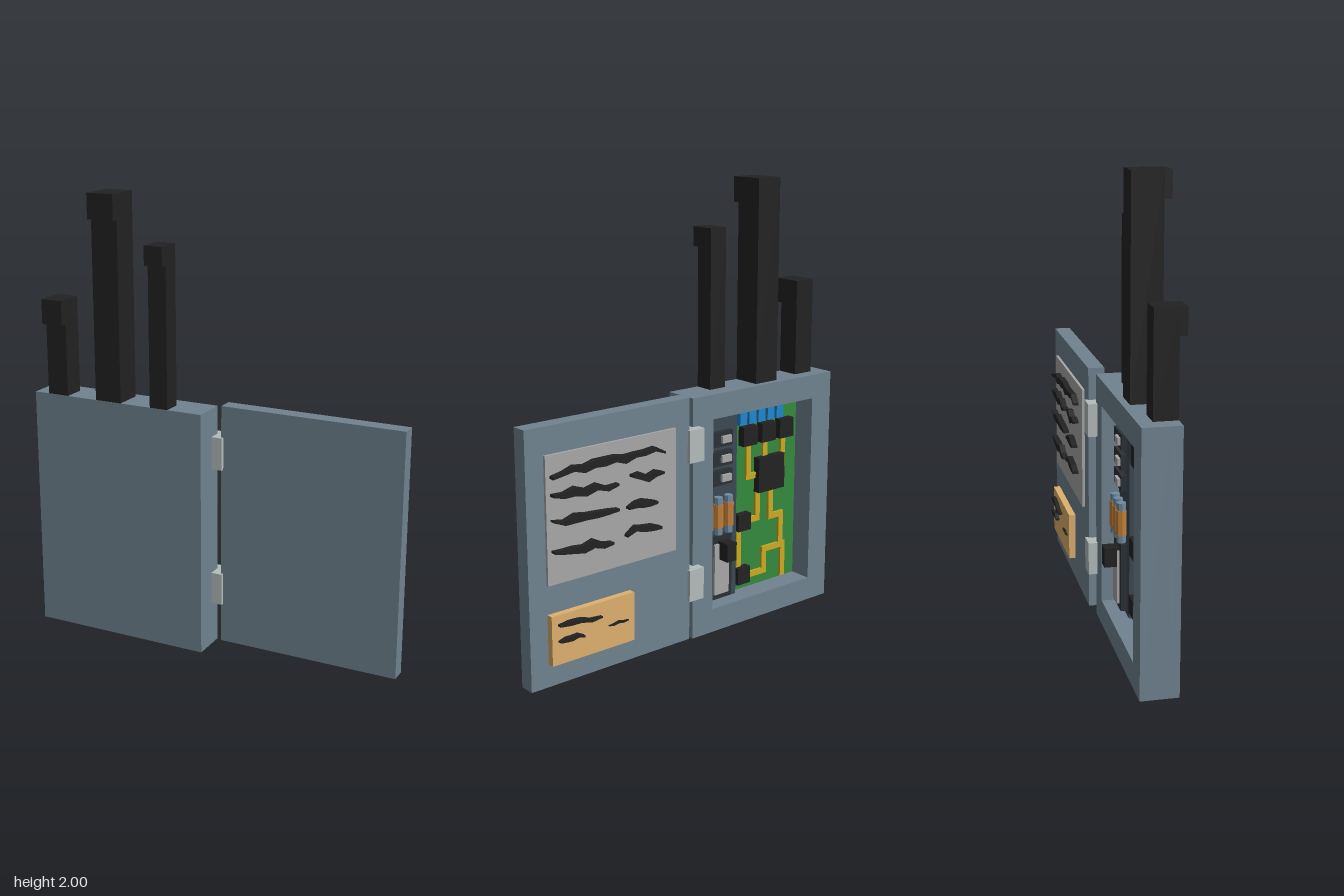
import * as THREE from 'three';

const mat = (color) => new THREE.MeshStandardMaterial({ color, flatShading: true });
const M = {
  steel: mat(0x708390), hinge: mat(0xb4bcbc), black: mat(0x222222), panel: mat(0x3c4852),
  board: mat(0x348a3c), trace: mat(0xccaa22), blue: mat(0x1f86cc), copper: mat(0xc08038),
  cap: mat(0x6f8ca0), plate: mat(0xa8a8a8), label: mat(0xdeb06e), dark: mat(0x2a3036),
};

export function createModel() {
  const root = new THREE.Group();

  const group = (name) => {
    const g = new THREE.Group();
    g.name = name;
    root.add(g);
    return g;
  };
  const add = (parent, name, geometry, material) => {
    const m = new THREE.Mesh(geometry, material);
    m.name = name;
    parent.add(m);
    return m;
  };
  // Box given by its limits on each axis
  const box = (parent, name, material, x0, x1, y0, y1, z0, z1) => {
    const m = add(parent, name, new THREE.BoxGeometry(x1 - x0, y1 - y0, z1 - z0), material);
    m.position.set((x0 + x1) / 2, (y0 + y1) / 2, (z0 + z1) / 2);
    return m;
  };
  // Box given by centre and size in x and y
  const block = (parent, name, material, x, y, w, h, z0, z1) =>
    box(parent, name, material, x - w / 2, x + w / 2, y - h / 2, y + h / 2, z0, z1);

  // Cabinet: frame with a rectangular opening, closed by a plate at +z
  const cabinet = group('cabinet');
  const rect = (C, x0, x1, y0, y1) => new C([
    new THREE.Vector2(x0, y0), new THREE.Vector2(x1, y0),
    new THREE.Vector2(x1, y1), new THREE.Vector2(x0, y1),
  ]);
  const outline = rect(THREE.Shape, -0.85, -0.02, 0, 1.1);
  outline.holes.push(rect(THREE.Path, -0.735, -0.135, 0.11, 0.99));
  const frame = add(cabinet, 'cabinetFrame',
    new THREE.ExtrudeGeometry(outline, { depth: 0.115, bevelEnabled: false }), M.steel);
  frame.position.z = -0.055;
  box(cabinet, 'cabinetWall', M.steel, -0.85, -0.02, 0, 1.1, 0.06, 0.105);

  // Open door and hinges
  const door = group('door');
  box(door, 'doorPanel', M.steel, 0.02, 0.845, 0.02, 1.115, -0.08, -0.01);
  for (const y of [0.2, 0.83]) box(root, 'hinge', M.hinge, -0.05, 0.03, y, y + 0.145, -0.095, 0.005);

  // Conduits with a short elbow at the top: x0, x1, back z, top, elbow height
  const conduits = group('conduits');
  for (const [x0, x1, z0, top, h] of [
    [-0.78, -0.68, 0.005, 1.53, 0.11],
    [-0.535, -0.41, -0.025, 2, 0.11],
    [-0.265, -0.18, 0.02, 1.8, 0.085],
  ]) {
    box(conduits, 'conduit', M.black, x0, x1, 1.09, top, z0, 0.104);
    box(conduits, 'conduitElbow', M.black, x0, x1, top - h, top, 0.1, 0.135);
  }

  // Breaker side: dark raised panel with breakers, fuses and the main switch
  const power = group('breakerPanel');
  box(power, 'mountingPanel', M.panel, -0.34, -0.135, 0.11, 0.99, 0.02, 0.06);
  for (const y of [0.873, 0.784, 0.695]) {
    block(power, 'breaker', M.dark, -0.225, y, 0.135, 0.068, -0.005, 0.02);
    block(power, 'breakerLever', M.plate, -0.25, y, 0.055, 0.032, -0.018, 0);
  }
  for (const x of [-0.155, -0.215, -0.275]) {
    const body = add(power, 'fuse', new THREE.CylinderGeometry(0.024, 0.024, 0.11, 8), M.copper);
    body.position.set(x, 0.52, 0);
    for (const s of [-1, 1]) {
      const cap = add(power, 'fuseCap', new THREE.CylinderGeometry(0.02, 0.02, 0.035, 8), M.cap);
      cap.position.set(x, 0.52 + s * 0.07, 0);
    }
  }
  block(power, 'switchBase', M.dark, -0.225, 0.275, 0.135, 0.3, -0.005, 0.02);
  block(power, 'switchPlate', M.plate, -0.225, 0.27, 0.085, 0.24, -0.016, 0);
  block(power, 'switchHandle', M.black, -0.2375, 0.36, 0.055, 0.085, -0.07, 0);

  // Circuit board with chips, terminals and traces
  const board = group('circuitBoard');
  box(board, 'board', M.board, -0.735, -0.34, 0.11, 0.99, 0.05, 0.06);
  for (let i = 0; i < 5; i++) {
    block(board, 'terminal', M.blue, -0.38 - i * 0.056, 0.935, 0.042, 0.06, 0.02, 0.05);
  }
  for (const [x, y, w, h] of [
    [-0.42, 0.85, 0.085, 0.09], [-0.533, 0.85, 0.085, 0.09], [-0.645, 0.85, 0.085, 0.09],
    [-0.555, 0.65, 0.16, 0.165], [-0.39, 0.445, 0.075, 0.08], [-0.39, 0.185, 0.075, 0.08],
  ]) block(board, 'chip', M.black, x, y, w, h, 0.015, 0.05);
  const traces = [
    [[-0.43, 0.81], [-0.43, 0.65], [-0.48, 0.65]],
    [[-0.533, 0.81], [-0.533, 0.72]],
    [[-0.645, 0.81], [-0.645, 0.66], [-0.63, 0.66]],
    [[-0.573, 0.57], [-0.573, 0.43], [-0.64, 0.43], [-0.64, 0.275], [-0.535, 0.275], [-0.535, 0.17], [-0.42, 0.17]],
    [[-0.49, 0.57], [-0.49, 0.44], [-0.42, 0.44]],
    [[-0.375, 0.41], [-0.375, 0.22]],
    [[-0.655, 0.275], [-0.655, 0.13]],
  ];
  const tw = 0.014;
  for (const path of traces) {
    for (let i = 1; i < path.length; i++) {
      const [a, b] = path[i - 1], [c, d] = path[i];
      box(board, 'trace', M.trace, Math.min(a, c) - tw, Math.max(a, c) + tw,
        Math.min(b, d) - tw, Math.max(b, d) + tw, 0.038, 0.05);
    }
  }

  // Notice plate and label on the inside of the door
  box(door, 'noticePlate', M.plate, 0.105, 0.76, 0.46, 1.0, -0.092, -0.08);
  box(door, 'label', M.label, 0.345, 0.76, 0.12, 0.335, -0.11, -0.08);

  // Jagged raised strokes
  let seed = 7;
  const rnd = () => (seed = (seed * 16807) % 2147483647) / 2147483647;
  const stroke = (x0, x1, y, h, z) => {
    const n = Math.max(4, Math.round((x0 - x1) / 0.05));
    const upper = [], lower = [];
    for (let i = 0; i <= n; i++) {
      const t = i / n;
      const mid = y + (rnd() - 0.5) * h * 0.8;
      const half = h * (0.15 + 0.35 * Math.sin(Math.PI * t)) * (0.7 + 0.5 * rnd());
      const x = x0 + (x1 - x0) * t;
      upper.push(new THREE.Vector2(x, mid + half));
      lower.unshift(new THREE.Vector2(x, mid - half));
    }
    const geo = new THREE.ExtrudeGeometry(new THREE.Shape([...upper, ...lower]),
      { depth: 0.03, bevelEnabled: false });
    add(door, 'stroke', geo, M.black).position.z = z;
  };
  for (const [x0, x1, y] of [
    [0.74, 0.18, 0.925], [0.74, 0.42, 0.825], [0.35, 0.185, 0.83], [0.74, 0.42, 0.72],
    [0.37, 0.22, 0.705], [0.74, 0.45, 0.59], [0.38, 0.2, 0.6],
  ]) stroke(x0, x1, y, 0.036, -0.118);
  stroke(0.73, 0.52, 0.285, 0.024, -0.128);
  stroke(0.73, 0.61, 0.22, 0.026, -0.128);
  stroke(0.48, 0.38, 0.225, 0.01, -0.118);

  return root;
}
